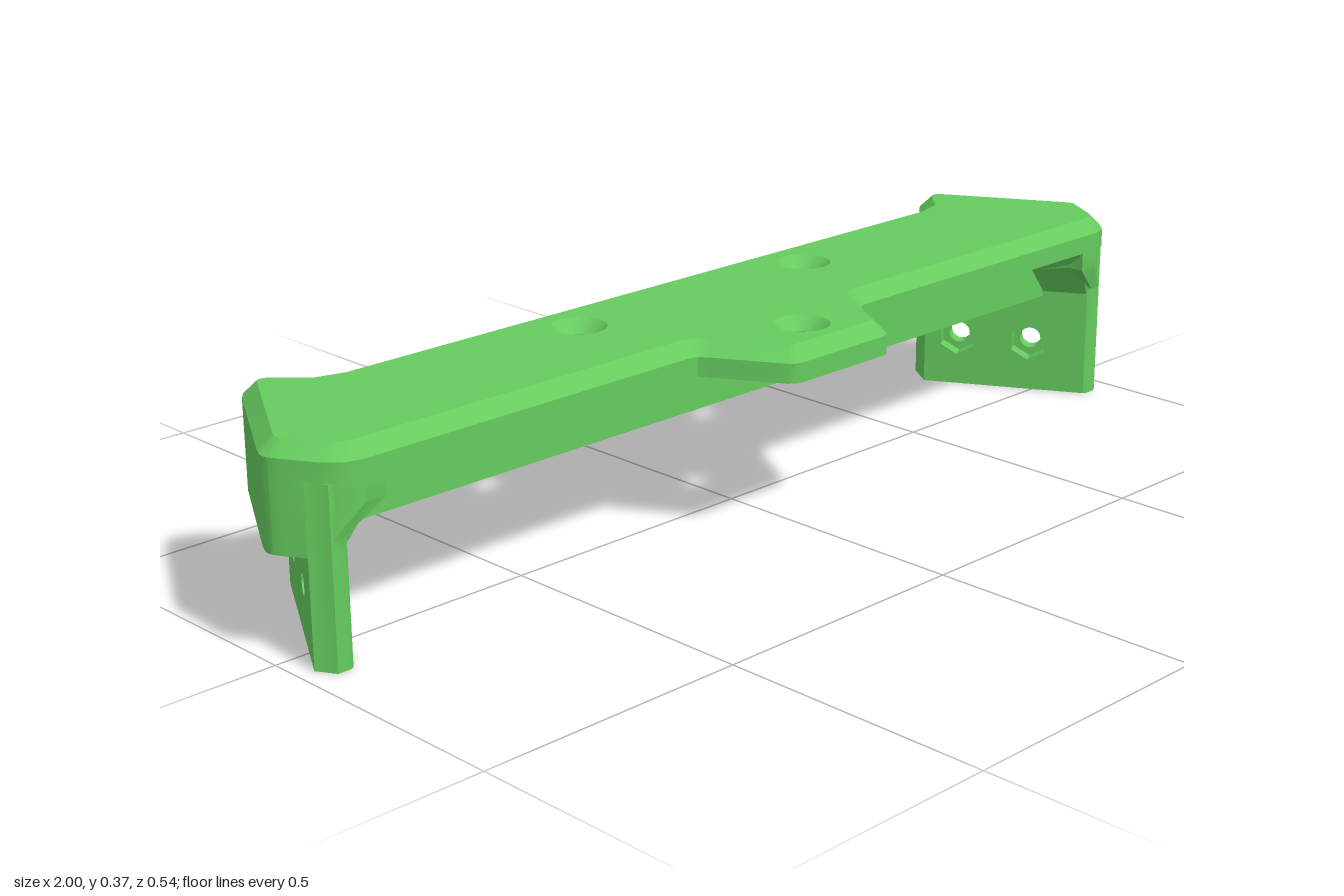
import * as THREE from 'three';
import { mergeGeometries, toCreasedNormals } from 'three/addons/utils/BufferGeometryUtils.js';

const material = new THREE.MeshStandardMaterial({ color: 0x66cc5f });
const V2 = (p) => p.map(([x, z]) => new THREE.Vector2(x, -z));

// Skin over rings of [x, y, z], anticlockwise from above, bottom to top
function loft(rings) {
  const pos = [];
  for (let r = 0; r < rings.length - 1; r++) {
    const lo = rings[r], hi = rings[r + 1], n = lo.length;
    for (let i = 0; i < n; i++) {
      const j = (i + 1) % n;
      pos.push(...lo[i], ...lo[j], ...hi[j], ...lo[i], ...hi[j], ...hi[i]);
    }
  }
  const g = new THREE.BufferGeometry();
  g.setAttribute('position', new THREE.Float32BufferAttribute(pos, 3));
  return g;
}

// Flat horizontal face at height y, facing up or down
function cap(pts, y, up, holes = []) {
  const shape = new THREE.Shape(V2(pts));
  shape.holes = holes.map((h) => new THREE.Path(V2(h)));
  const g = bare(new THREE.ShapeGeometry(shape));
  g.rotateX(-Math.PI / 2).translate(0, y, 0);
  return up ? g : flip(g);
}

// Positions only, without index
function bare(g) {
  const out = g.index ? g.toNonIndexed() : g;
  out.deleteAttribute('uv');
  out.deleteAttribute('normal');
  return out;
}

// Reverses the winding of every triangle
function flip(g) {
  const a = g.attributes.position;
  for (let i = 0; i < a.count; i += 3) {
    const b = [a.getX(i + 1), a.getY(i + 1), a.getZ(i + 1)];
    a.setXYZ(i + 1, a.getX(i + 2), a.getY(i + 2), a.getZ(i + 2));
    a.setXYZ(i + 2, ...b);
  }
  return g;
}

const mirror = (g) => flip(g.clone().scale(-1, 1, 1));
const at = (pts, y) => pts.map(([x, z]) => [x, y, z]);

// Closed solid through [outline, y] levels, bottom to top
function solid(levels) {
  const first = levels[0], last = levels[levels.length - 1];
  return mergeGeometries([
    loft(levels.map(([p, y]) => at(p, y))),
    cap(first[0], first[1], false),
    cap(last[0], last[1], true),
  ]);
}

function finish(name, geos) {
  const m = new THREE.Mesh(toCreasedNormals(mergeGeometries(geos), 0.6), material);
  m.name = name;
  return m;
}

// Mitred inward offset of a closed anticlockwise outline
function inset(pts, d) {
  const n = pts.length;
  const normal = (a, b) => {
    const l = Math.hypot(b[0] - a[0], b[1] - a[1]);
    return [(b[1] - a[1]) / l, -(b[0] - a[0]) / l];
  };
  return pts.map((p, i) => {
    const u = normal(pts[(i + n - 1) % n], p), v = normal(p, pts[(i + 1) % n]);
    const k = d / (1 + u[0] * v[0] + u[1] * v[1]);
    return [p[0] + (u[0] + v[0]) * k, p[1] + (u[1] + v[1]) * k];
  });
}

// Ring of 24 points, round or hexagonal
function ring(cx, cz, r, hex = false) {
  const sector = Math.PI / 3;
  return Array.from({ length: 24 }, (_, i) => {
    const a = (i % 4) * (sector / 4) - sector / 2;
    const k = hex ? (r * Math.cos(sector / 2)) / Math.cos(a) : r;
    const t = (i / 24) * Math.PI * 2 + sector / 2;
    return [cx + k * Math.cos(t), cz - k * Math.sin(t)];
  });
}

// Outer end of the outline, shared by plate and shoulder
const endEdge = [[0.955, 0.085], [0.99, 0.025], [0.998, 0.01], [1, 0], [0.998, -0.01],
  [0.99, -0.028], [0.865, -0.245], [0.85, -0.263], [0.83, -0.268], [0.81, -0.262],
  [0.783, -0.238], [0.755, -0.208]];

// Top plate with bevelled rim, countersunk bores and nut pockets
function makePlate() {
  const half = [[0.1, 0.268], [0.113, 0.265], [0.124, 0.255], [0.192, 0.138], [0.203, 0.123],
    [0.22, 0.118], [0.9, 0.118], [0.93, 0.11], ...endEdge, [0.71, -0.195]];
  const outline = [...half, ...half.map(([x, z]) => [-x, z]).reverse()];
  const top = inset(outline, 0.025);
  const holes = [[-0.28, -0.09], [0.28, -0.09], [0, 0.17]];
  const bores = holes.map(([x, z]) => loft([
    at(ring(x, z, 0.05), 0.37), at(ring(x, z, 0.027), 0.347), at(ring(x, z, 0.027), 0.328),
    at(ring(x, z, 0.04, true), 0.328), at(ring(x, z, 0.04, true), 0.31),
  ]));
  return finish('topPlate', [
    loft([at(outline, 0.31), at(outline, 0.345), at(top, 0.37)]),
    cap(top, 0.37, true, holes.map(([x, z]) => ring(x, z, 0.05))),
    cap(outline, 0.31, false, holes.map(([x, z]) => ring(x, z, 0.04, true))),
    ...bores,
  ]);
}

// Slanted leg: outer layer has round holes, inner layer hexagonal pockets
function makeLeg() {
  const c = Math.cos(Math.PI / 6), length = 0.355, half = 0.03;
  const layer = (hex, offset) => {
    const s = new THREE.Shape();
    s.moveTo(0, 0).lineTo(length, 0).lineTo(length, 0.312).lineTo(0, 0.312).closePath();
    s.holes = [0.115, 0.26].map((u) => new THREE.Path(
      V2(ring(u, -0.1, hex ? 0.038 : 0.021, hex))));
    const g = bare(new THREE.ExtrudeGeometry(s, { depth: half, bevelEnabled: false }));
    g.translate(0, 0, -offset);
    // the back end is cut at an angle, shorter on the inside
    const a = g.attributes.position;
    for (let i = 0; i < a.count; i++) {
      if (a.getX(i) > length - 0.001) a.setX(i, length + 0.48 * a.getZ(i));
    }
    // x runs backward along the leg, z runs outward from the inner side
    g.applyMatrix4(new THREE.Matrix4().makeBasis(
      new THREE.Vector3(-0.5, 0, -c), new THREE.Vector3(0, 1, 0), new THREE.Vector3(c, 0, -0.5)));
    return g.translate(0.97, 0, 0.06);
  };
  const nose = [[0.918, 0.09], [0.925, 0.094], [0.95, 0.094], [0.97, 0.06]];
  return mergeGeometries([
    layer(false, half),
    layer(true, 2 * half),
    solid([[nose, 0], [nose, 0.31]]),
  ]);
}

// Thick end shoulder outside the leg, chamfered at the front
function makeShoulder() {
  const low = [[0.918, 0.088], [0.925, 0.094], [0.948, 0.094], ...endEdge];
  const high = [[0.86, 0.085], [0.86, 0.118], [0.9, 0.118], ...endEdge];
  return solid([[low, 0.187], [low, 0.22], [high, 0.275], [high, 0.312]]);
}

// Sloping fillet between the leg and the underside of the plate
function makeGusset() {
  const low = [[0.915, 0.09], [0.93, 0.09], [0.77, -0.2], [0.75, -0.195]];
  const high = [[0.855, 0.115], [0.89, 0.112], [0.77, -0.2], [0.68, -0.19]];
  return solid([[low, 0.21], [high, 0.311]]);
}

// Stiffening wall across the middle with a hollow V-shaped brace behind it
function makeWall() {
  const bar = [[-0.87, 0.015], [0.87, 0.015], [0.86, -0.015], [-0.86, -0.015]];
  const arm = [[0.185, -0.01], [0.03, -0.175], [0, -0.175], [0, -0.145], [0.017, -0.145],
    [0.143, -0.01]];
  const brace = solid([[arm, 0.2], [arm, 0.311]]);
  return finish('frontWall', [solid([[bar, 0.2], [bar, 0.311]]), brace, mirror(brace)]);
}

export function createModel() {
  const model = new THREE.Group();
  model.name = 'mountingBracket';
  model.add(makePlate(), makeWall());
  const parts = { Leg: makeLeg(), Shoulder: makeShoulder(), Gusset: makeGusset() };
  for (const [name, geo] of Object.entries(parts)) {
    model.add(finish('left' + name, [geo]), finish('right' + name, [mirror(geo)]));
  }
  return model;
}
